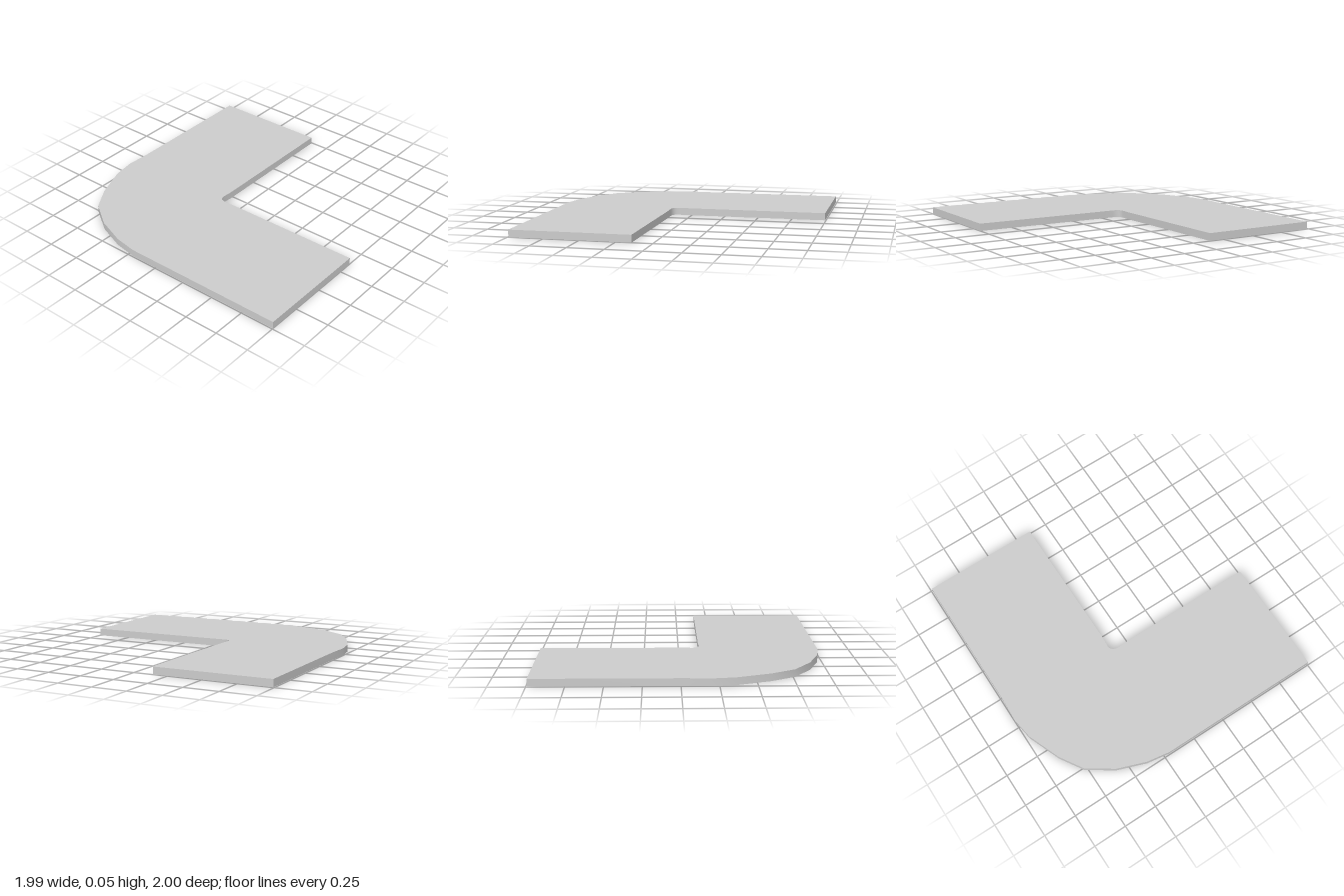
import * as THREE from 'three';
import { toCreasedNormals } from 'three/addons/utils/BufferGeometryUtils.js';

const THICKNESS = 0.052;

export function createModel() {
  const group = new THREE.Group();
  group.name = 'cornerPath';

  // Faceted outer bend, drawn in plan with shape y = -z
  const outerBend = [
    [-0.993, 0.21], [-0.965, 0.38], [-0.888, 0.59], [-0.763, 0.775],
    [-0.597, 0.88], [-0.36, 0.975], [-0.2, 1], [-0.02, 0.991],
  ];
  const shape = new THREE.Shape();
  shape.moveTo(-0.993, -1);
  outerBend.forEach(([x, y]) => shape.lineTo(x, y));
  shape.lineTo(0.993, 0.991);
  shape.lineTo(0.993, 0.14);

  // Small rounded inner corner
  shape.lineTo(-0.02, 0.14);
  shape.lineTo(-0.1, 0.146);
  shape.quadraticCurveTo(-0.143, 0.143, -0.147, 0.09);
  shape.lineTo(-0.143, 0);
  shape.lineTo(-0.143, -1);
  shape.closePath();

  // Extrude the plan and lay it flat on the ground
  const extruded = new THREE.ExtrudeGeometry(shape, {
    depth: THICKNESS, bevelEnabled: false, curveSegments: 6,
  });
  extruded.rotateX(-Math.PI / 2);

  const slab = new THREE.Mesh(
    toCreasedNormals(extruded, THREE.MathUtils.degToRad(30)),
    new THREE.MeshStandardMaterial({ color: 0xcccccc })
  );
  slab.name = 'curvedSlab';
  group.add(slab);
  return group;
}
